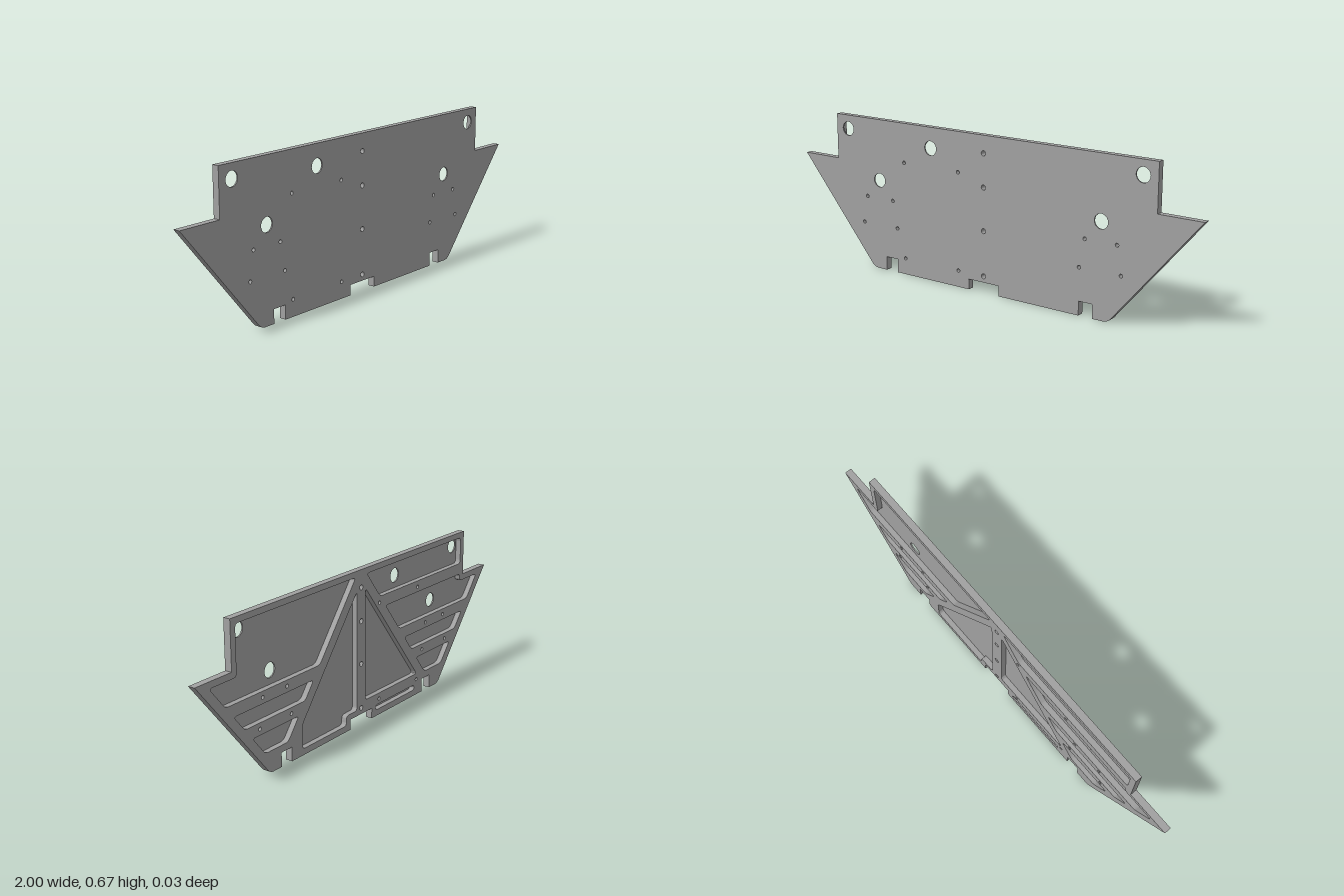
import * as THREE from 'three';
import { toCreasedNormals } from 'three/addons/utils/BufferGeometryUtils.js';

const BACK = -0.015, FLOOR = 0.009, FRONT = 0.015;

// Polygon with every corner rounded; a point may carry its own radius as third value
function roundedPath(points, radius, path = new THREE.Path()) {
  const n = points.length;
  points.forEach((p, i) => {
    const c = new THREE.Vector2(p[0], p[1]);
    const r = p[2] ?? radius;
    const toward = (q) => {
      const d = new THREE.Vector2(q[0], q[1]).sub(c);
      return d.setLength(Math.min(r, d.length() * 0.45)).add(c);
    };
    const a = toward(points[(i + n - 1) % n]);
    const b = toward(points[(i + 1) % n]);
    if (i === 0) path.moveTo(a.x, a.y); else path.lineTo(a.x, a.y);
    if (r > 0) path.quadraticCurveTo(c.x, c.y, b.x, b.y);
  });
  path.closePath();
  return path;
}

const mirror = (points) => points.map(([x, y, ...r]) => [-x, y, ...r]);

function circle([x, y, r]) {
  return new THREE.Path().absarc(x, y, r, 0, Math.PI * 2, false);
}

// Plate outline: shoulders, slanted sides, rounded feet and three base notches
function outline() {
  const half = [
    [0.077, 0.045], [0.077, 0], [0.468, 0], [0.468, 0.06], [0.532, 0.06], [0.532, 0],
    [0.602, 0, 0.022], [1, 0.47], [0.805, 0.47], [0.805, 0.67],
  ];
  return roundedPath([...half, ...mirror(half).reverse()], 0, new THREE.Shape());
}

// Pocket limits beside the slanted side and beside the diagonal rib
const outer = (y) => 0.95 - (0.47 - y) / 1.18;
const inner = (y) => 0.157 + (0.5 - y) / 1.23;
const band = (low, high) => [
  [inner(high), high], [outer(high), high], [outer(low), low], [inner(low), low],
];

function pockets() {
  const middle = band(0.225, 0.295);
  const lower = band(0.09, 0.175);
  const shoulder = [[0.778, 0.443], [outer(0.443), 0.443], [outer(0.345), 0.345], [inner(0.345), 0.345]];
  return [
    // left half
    [[inner(0.645), 0.645], [0.778, 0.645], ...shoulder],
    middle,
    lower,
    [[0.03, 0.585], [0.4, 0.13], [0.4, 0.027], [0.106, 0.027], [0.106, 0.07], [0.03, 0.07]],
    // right half
    mirror([[inner(0.645), 0.645], [0.778, 0.645], [0.778, 0.525], [inner(0.525), 0.525]]),
    mirror([[inner(0.475), 0.475], [0.778, 0.475], ...shoulder]),
    mirror(middle),
    mirror(lower),
    mirror([[0.03, 0.585], [0.425, 0.098], [0.03, 0.098]]),
    mirror([[0.106, 0.05], [0.405, 0.05], [0.405, 0.027], [0.106, 0.027]]),
  ].map((p) => roundedPath(p, 0.018));
}

// Large openings lie inside pockets; small bores run through the ribs
const openings = [
  [-0.74, 0.61, 0.031], [0.74, 0.61, 0.031], [-0.277, 0.58, 0.031],
  [-0.563, 0.402, 0.031], [0.563, 0.402, 0.031],
];
const bores = [0.595, 0.452, 0.267, 0.072].map((y) => [0, y, 0.011]);
for (const x of [-0.423, -0.132]) for (const y of [0.498, 0.072]) bores.push([x, y, 0.008]);
for (const s of [-1, 1]) {
  for (const [x, y] of [[0.49, 0.32], [0.636, 0.32], [0.467, 0.2], [0.657, 0.2]]) bores.push([s * x, y, 0.008]);
}

function layer(name, holes, z0, z1, material) {
  const shape = outline();
  shape.holes.push(...holes);
  const geometry = new THREE.ExtrudeGeometry(shape, { depth: z1 - z0, bevelEnabled: false, curveSegments: 10 });
  geometry.translate(0, 0, z0);
  const mesh = new THREE.Mesh(toCreasedNormals(geometry, 0.6), material);
  mesh.name = name;
  return mesh;
}

export function createModel() {
  const metal = new THREE.MeshStandardMaterial({ color: 0xa0a0a0 });
  metal.name = 'grey metal';

  const group = new THREE.Group();
  group.name = 'ribbed plate';
  group.add(
    layer('frontSkin', [...openings, ...bores].map(circle), FLOOR, FRONT, metal),
    layer('backRibs', [...pockets(), ...bores.map(circle)], BACK, FLOOR, metal),
  );
  return group;
}
